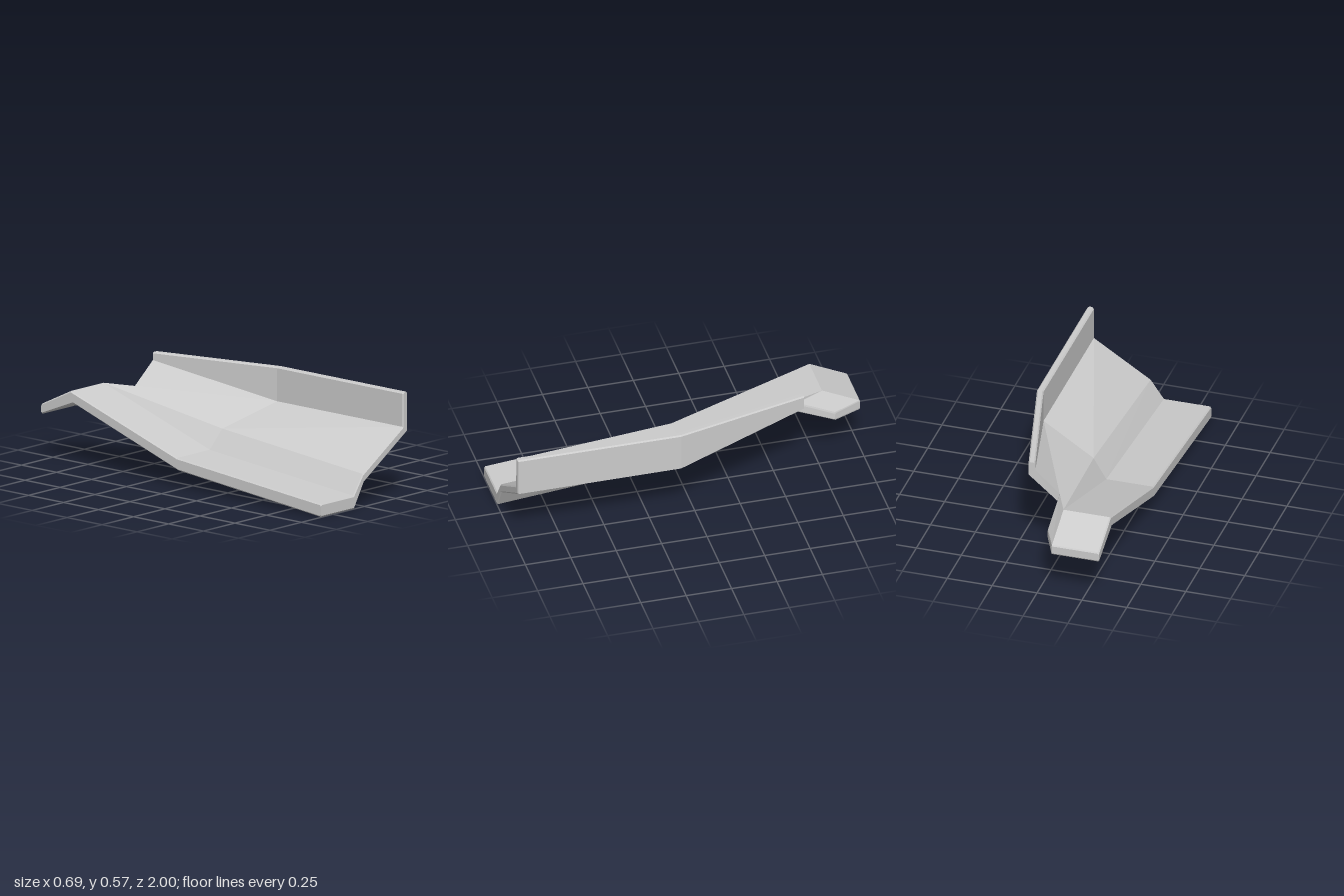
import * as THREE from 'three';

const V = (x, y, z) => new THREE.Vector3(x, y, z);
const BEVEL = 0.007;

// Move from a toward b by a fixed distance
const toward = (a, b, d = BEVEL) => a.clone().addScaledVector(b.clone().sub(a).normalize(), d);

// Closed ring around a folded sheet: under side left to right, upper side back,
// with chamfered corners at both free edges
function ring({ under, upper }) {
  const n = under.length - 1;
  const side = (p, q) => [
    toward(p[0], q[0]), toward(p[0], p[1]),
    ...p.slice(1, n),
    toward(p[n], p[n - 1]), toward(p[n], q[n]),
  ];
  return [...side(under, upper), ...side(upper, under).reverse()];
}

// Thinner copy of a ring, shifted along z, for the chamfer on an end
function endRing(r, dz) {
  const last = r.length - 1;
  return r.map((p, i) => {
    const gap = p.distanceTo(r[last - i]);
    const q = toward(p, r[last - i], Math.min(BEVEL, gap * 0.2));
    q.z += dz;
    return q;
  });
}

// Join rings from front to back and cap both ends
function loft(rings) {
  const pos = [];
  const quad = (a, b, c, d) => [a, b, c, a, c, d].forEach((p) => pos.push(p.x, p.y, p.z));
  const n = rings[0].length;
  for (let k = 0; k < rings.length - 1; k++) {
    const f = rings[k], b = rings[k + 1];
    for (let j = 0; j < n; j++) {
      const i = (j + 1) % n;
      quad(f[j], b[j], b[i], f[i]);
    }
  }
  const first = rings[0], end = rings[rings.length - 1];
  for (let j = 0; j < n / 2 - 1; j++) {
    quad(first[j], first[j + 1], first[n - 2 - j], first[n - 1 - j]);
    quad(end[j], end[n - 1 - j], end[n - 2 - j], end[j + 1]);
  }
  const g = new THREE.BufferGeometry();
  g.setAttribute('position', new THREE.Float32BufferAttribute(pos, 3));
  g.computeVertexNormals();
  return g;
}

export function createModel() {
  const group = new THREE.Group();
  const material = new THREE.MeshStandardMaterial({ color: 0xcccccc, flatShading: true });
  const add = (name, geometry) => {
    const mesh = new THREE.Mesh(geometry, material);
    mesh.name = name;
    group.add(mesh);
  };

  // Fold lines: floor edge, floor fold, step fold, wall foot, wall top
  const front = {
    under: [V(-0.345, 0, 0.994), V(-0.08, 0, 0.994), V(-0.003, 0.13, 0.994), V(0.345, 0.352, 0.994), V(0.345, 0.567, 0.994)],
    upper: [V(-0.345, 0.072, 0.994), V(-0.082, 0.072, 0.994), V(-0.008, 0.178, 0.994), V(0.308, 0.38, 0.994), V(0.308, 0.567, 0.994)],
  };
  const middle = {
    under: [V(-0.345, 0.095, -0.02), V(-0.08, 0.095, -0.02), V(-0.003, 0.215, -0.01), V(0.345, 0.355, 0.1), V(0.345, 0.567, 0.1)],
    upper: [V(-0.345, 0.163, -0.03), V(-0.082, 0.163, -0.03), V(-0.005, 0.268, -0.01), V(0.308, 0.38, 0.1), V(0.308, 0.567, 0.1)],
  };
  const ridge = {
    under: [V(-0.345, 0.345, -0.77), V(-0.08, 0.345, -0.77), V(-0.007, 0.35, -0.63), V(0.165, 0.49, -0.625), V(0.165, 0.567, -0.625)],
    upper: [V(-0.345, 0.41, -0.79), V(-0.082, 0.41, -0.79), V(-0.01, 0.405, -0.63), V(0.127, 0.523, -0.625), V(0.127, 0.567, -0.625)],
  };

  // Folded floor, sloping step and side wall
  const frontRing = ring(front);
  add('foldedPanel', loft([endRing(frontRing, 0.006), frontRing, ring(middle), ring(ridge)]));

  // Rear flap bent down from the ridge
  const flapStart = { under: ridge.under.slice(0, 3), upper: ridge.upper.slice(0, 3) };
  const flapEnd = {
    under: [V(-0.345, 0.253, -0.995), V(-0.08, 0.253, -0.995), V(-0.008, 0.258, -0.838)],
    upper: [V(-0.345, 0.31, -0.995), V(-0.082, 0.31, -0.995), V(-0.01, 0.307, -0.838)],
  };
  const tip = ring(flapEnd);
  add('rearFlap', loft([ring(flapStart), tip, endRing(tip, -0.005)]));

  return group;
}
